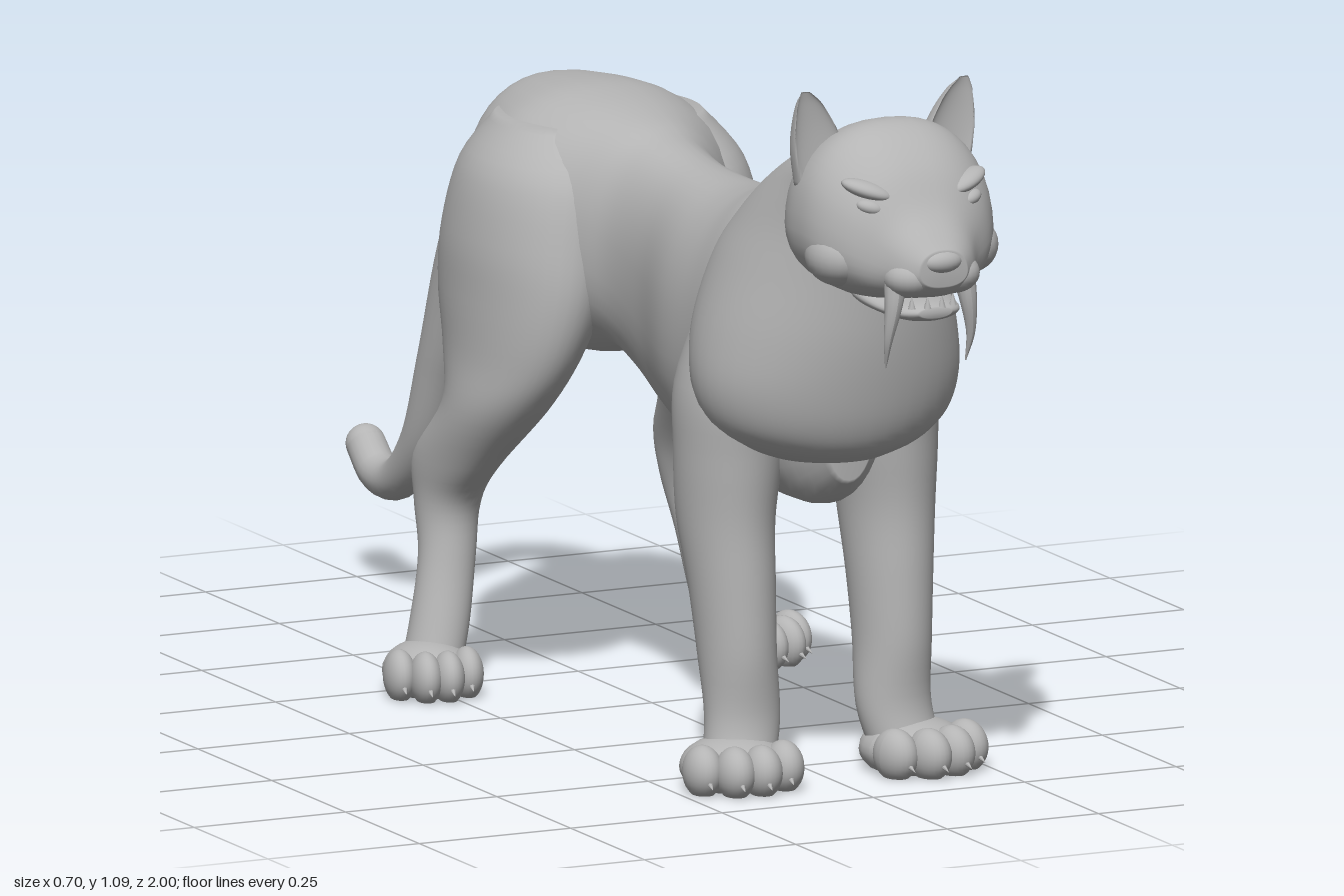
import * as THREE from 'three';

const clay = new THREE.MeshStandardMaterial({ color: 0xb4b4b4 });
clay.name = 'greyClay';

// Smooth surface through elliptical sections, swept along y or z.
// axis z: [z, top, bottom, halfWidth, taper]; axis y: [y, cx, cz, rx, rz]
function loft(axis, rows, { steps = 5, sides = 40, power = 2 } = {}) {
  const n = rows.length, pos = [], idx = [], rings = [];
  const row = (i) => rows[Math.max(0, Math.min(n - 1, i))];
  for (let i = 0; i < n - 1; i++) {
    for (let s = 0; s < steps + (i === n - 2 ? 1 : 0); s++) {
      const t = s / steps;
      const [a, b, c, d] = [row(i - 1), row(i), row(i + 1), row(i + 2)];
      rings.push(b.map((v, k) => v + 0.5 * t * (c[k] - a[k]
        + t * (2 * a[k] - 5 * v + 4 * c[k] - d[k] + t * (3 * (v - c[k]) + d[k] - a[k])))));
    }
  }
  const bend = (v) => Math.sign(v) * Math.abs(v) ** (2 / power);
  for (const r of rings) {
    for (let j = 0; j < sides; j++) {
      const a = j / sides * Math.PI * 2, u = bend(Math.cos(a)), v = bend(Math.sin(a));
      if (axis === 'z') {
        const [z, top, bottom, w, taper = 0] = r;
        pos.push(w * u * (1 - taper * v), (top + bottom) / 2 + (top - bottom) / 2 * v, z);
      } else {
        const [y, cx, cz, rx, rz] = r;
        pos.push(cx + rx * v, y, cz + rz * u);
      }
    }
  }
  for (let i = 0; i < rings.length - 1; i++) {
    for (let j = 0; j < sides; j++) {
      const a = i * sides + j, b = i * sides + (j + 1) % sides;
      idx.push(a, b, a + sides, b, b + sides, a + sides);
    }
  }
  // End caps
  for (const end of [0, rings.length - 1]) {
    const r = rings[end], c = pos.length / 3, o = end * sides;
    if (axis === 'z') pos.push(0, (r[1] + r[2]) / 2, r[0]);
    else pos.push(r[1], r[0], r[2]);
    for (let j = 0; j < sides; j++) {
      const p = o + j, q = o + (j + 1) % sides;
      if (end) idx.push(c, p, q); else idx.push(c, q, p);
    }
  }
  const g = new THREE.BufferGeometry();
  g.setAttribute('position', new THREE.Float32BufferAttribute(pos, 3));
  g.setIndex(idx);
  g.computeVertexNormals();
  return g;
}

// Move every vertex by a rule
function reshape(g, rule) {
  const p = g.attributes.position, v = new THREE.Vector3();
  for (let i = 0; i < p.count; i++) {
    rule(v.fromBufferAttribute(p, i), i);
    p.setXYZ(i, v.x, v.y, v.z);
  }
  g.computeVertexNormals();
  return g;
}

function add(parent, name, geometry) {
  const m = new THREE.Mesh(geometry, clay);
  m.name = name;
  parent.add(m);
  return m;
}

function ball(parent, name, [x, y, z], [rx, ry, rz]) {
  const m = add(parent, name, new THREE.SphereGeometry(1, 24, 16));
  m.position.set(x, y, z);
  m.scale.set(rx, ry, rz);
  return m;
}

// Tapered tube along a curved path
function taperedTube(points, r0, r1, segments, sides) {
  const curve = new THREE.CatmullRomCurve3(points.map((p) => new THREE.Vector3(...p)));
  const g = new THREE.TubeGeometry(curve, segments, 1, sides);
  return reshape(g, (v, i) => {
    const t = Math.floor(i / (sides + 1)) / segments, c = curve.getPointAt(t);
    v.sub(c).multiplyScalar(r0 + (r1 - r0) * t).add(c);
  });
}

// Flat-soled foot with four toes and claws, turned outward
function paw(name, x, z, width, turn) {
  const g = new THREE.Group();
  g.name = name;
  const flat = (part, px, py, pz, rx, ry, rz) => add(g, part, reshape(
    new THREE.SphereGeometry(1, 24, 16),
    (v) => v.set(px + v.x * rx, Math.max(0.004, py + v.y * ry), pz + v.z * rz)));
  flat('pad', 0, 0.035, -0.01, width * 0.92, 0.047, 0.085);
  for (let i = 0; i < 4; i++) {
    const k = (i - 1.5) / 1.5, tx = k * width * 0.7, tz = 0.062 - 0.03 * k * k;
    flat('toe', tx, 0.038, tz, width * 0.33, 0.04, 0.042);
    const claw = add(g, 'claw', new THREE.ConeGeometry(0.006, 0.022, 8));
    claw.position.set(tx, 0.024, tz + 0.042);
    claw.rotation.x = Math.PI / 2 + 0.4;
  }
  g.position.set(x, 0, z);
  g.rotation.y = turn;
  return g;
}

// Everything that exists once per side, built on the +x side
function sideParts() {
  const g = new THREE.Group();
  add(g, 'frontLeg', loft('y', [
    [0.02, 0.143, 0.58, 0.055, 0.055], [0.1, 0.125, 0.562, 0.058, 0.05],
    [0.2, 0.128, 0.55, 0.058, 0.066], [0.3, 0.13, 0.537, 0.063, 0.076],
    [0.4, 0.132, 0.52, 0.07, 0.09], [0.5, 0.128, 0.52, 0.077, 0.1],
    [0.6, 0.125, 0.52, 0.075, 0.11], [0.72, 0.11, 0.52, 0.05, 0.08]]));
  g.add(paw('frontPaw', 0.15, 0.595, 0.09, 0.15));

  add(g, 'hindLeg', loft('y', [
    [0.02, 0.255, -0.235, 0.045, 0.05], [0.1, 0.232, -0.245, 0.045, 0.045],
    [0.2, 0.212, -0.26, 0.043, 0.043], [0.28, 0.203, -0.277, 0.047, 0.062],
    [0.345, 0.198, -0.255, 0.054, 0.098], [0.44, 0.178, -0.168, 0.07, 0.108],
    [0.52, 0.155, -0.16, 0.084, 0.155], [0.61, 0.135, -0.168, 0.102, 0.188],
    [0.7, 0.12, -0.17, 0.113, 0.188], [0.8, 0.1, -0.17, 0.11, 0.165],
    [0.87, 0.08, -0.18, 0.075, 0.11]]));
  g.add(paw('hindPaw', 0.265, -0.212, 0.073, 0.25));

  // Cupped ear: the front half is pushed inward
  add(g, 'ear', reshape(loft('y', [
    [0.95, 0.1, 0.775, 0.04, 0.035], [1.0, 0.107, 0.78, 0.041, 0.04],
    [1.04, 0.115, 0.785, 0.033, 0.037], [1.075, 0.124, 0.79, 0.02, 0.025],
    [1.094, 0.131, 0.795, 0.007, 0.009]]),
  (v) => { if (v.z > 0.79) v.z = 0.79 - (v.z - 0.79) * 0.3; }));

  const eye = ball(g, 'eye', [0.083, 0.938, 0.908], [0.021, 0.011, 0.014]);
  eye.rotation.set(0, 0.5, 0.25);
  const brow = ball(g, 'brow', [0.082, 0.962, 0.896], [0.04, 0.013, 0.022]);
  brow.rotation.set(0, 0.5, 0.3);
  ball(g, 'cheek', [0.105, 0.855, 0.845], [0.047, 0.045, 0.06]);
  ball(g, 'muzzlePad', [0.036, 0.836, 0.945], [0.04, 0.031, 0.042]);
  add(g, 'fang', taperedTube([[0.056, 0.83, 0.94], [0.062, 0.79, 0.945],
    [0.068, 0.74, 0.94], [0.066, 0.696, 0.927]], 0.018, 0.001, 16, 12));
  for (const [x, z] of [[0.012, 0.958], [0.034, 0.95]]) {
    const tooth = add(g, 'tooth', new THREE.ConeGeometry(0.006, 0.02, 8));
    tooth.position.set(x, 0.797, z);
  }
  return g;
}

export function createModel() {
  const model = new THREE.Group();
  model.name = 'bigCat';

  add(model, 'torso', loft('z', [
    [-0.36, 0.87, 0.66, 0.085], [-0.335, 0.9, 0.58, 0.145], [-0.2, 0.915, 0.52, 0.205],
    [-0.1, 0.908, 0.52, 0.19], [0, 0.89, 0.54, 0.135], [0.07, 0.872, 0.51, 0.106],
    [0.17, 0.856, 0.465, 0.107], [0.3, 0.852, 0.44, 0.136], [0.4, 0.868, 0.43, 0.142],
    [0.5, 0.898, 0.42, 0.14], [0.6, 0.88, 0.422, 0.105], [0.67, 0.8, 0.47, 0.05]],
  { power: 2.2 }));

  // Broad chest and neck overlapping the torso
  add(model, 'chest', loft('y', [
    [0.5, 0, 0.59, 0.09, 0.09], [0.522, 0, 0.588, 0.145, 0.127],
    [0.56, 0, 0.587, 0.188, 0.15], [0.62, 0, 0.585, 0.207, 0.168],
    [0.7, 0, 0.583, 0.2, 0.183], [0.8, 0, 0.598, 0.173, 0.175],
    [0.87, 0, 0.63, 0.148, 0.15], [0.93, 0, 0.675, 0.126, 0.122],
    [0.98, 0, 0.73, 0.105, 0.09], [1.01, 0, 0.76, 0.07, 0.06]]));

  // Head, lower jaw and nose
  add(model, 'head', loft('z', [
    [0.655, 0.93, 0.85, 0.05, 0.1], [0.69, 0.995, 0.81, 0.11, 0.1],
    [0.75, 1.032, 0.79, 0.143, 0.1], [0.81, 1.047, 0.783, 0.15, 0.1],
    [0.86, 1.03, 0.785, 0.142, 0.12], [0.905, 0.99, 0.793, 0.117, 0.12],
    [0.94, 0.935, 0.8, 0.08, 0.1], [0.97, 0.9, 0.808, 0.058, 0.1],
    [0.99, 0.878, 0.825, 0.038, 0.1]], { power: 2.35 }));
  add(model, 'lowerJaw', loft('z', [
    [0.78, 0.82, 0.79, 0.06], [0.83, 0.82, 0.768, 0.075], [0.89, 0.8, 0.763, 0.064],
    [0.94, 0.794, 0.764, 0.05], [0.962, 0.788, 0.772, 0.026]]));
  ball(model, 'nose', [0, 0.862, 0.98], [0.033, 0.018, 0.02]);

  // Rump ridge and hanging tail
  ball(model, 'rumpRidge', [0, 0.865, -0.315], [0.075, 0.036, 0.047]);
  const tip = [0, 0.212, -0.97];
  add(model, 'tail', taperedTube([[0, 0.77, -0.3], [0, 0.78, -0.38], [0, 0.768, -0.46],
    [0, 0.7, -0.555], [0, 0.57, -0.638], [0, 0.39, -0.714], [0, 0.25, -0.78],
    [0, 0.18, -0.86], [0, 0.178, -0.925], tip], 0.047, 0.03, 64, 20));
  ball(model, 'tailTip', tip, [0.03, 0.03, 0.03]);

  const left = sideParts(), right = sideParts();
  left.name = 'leftSide';
  right.name = 'rightSide';
  right.scale.x = -1;
  model.add(left, right);
  return model;
}
